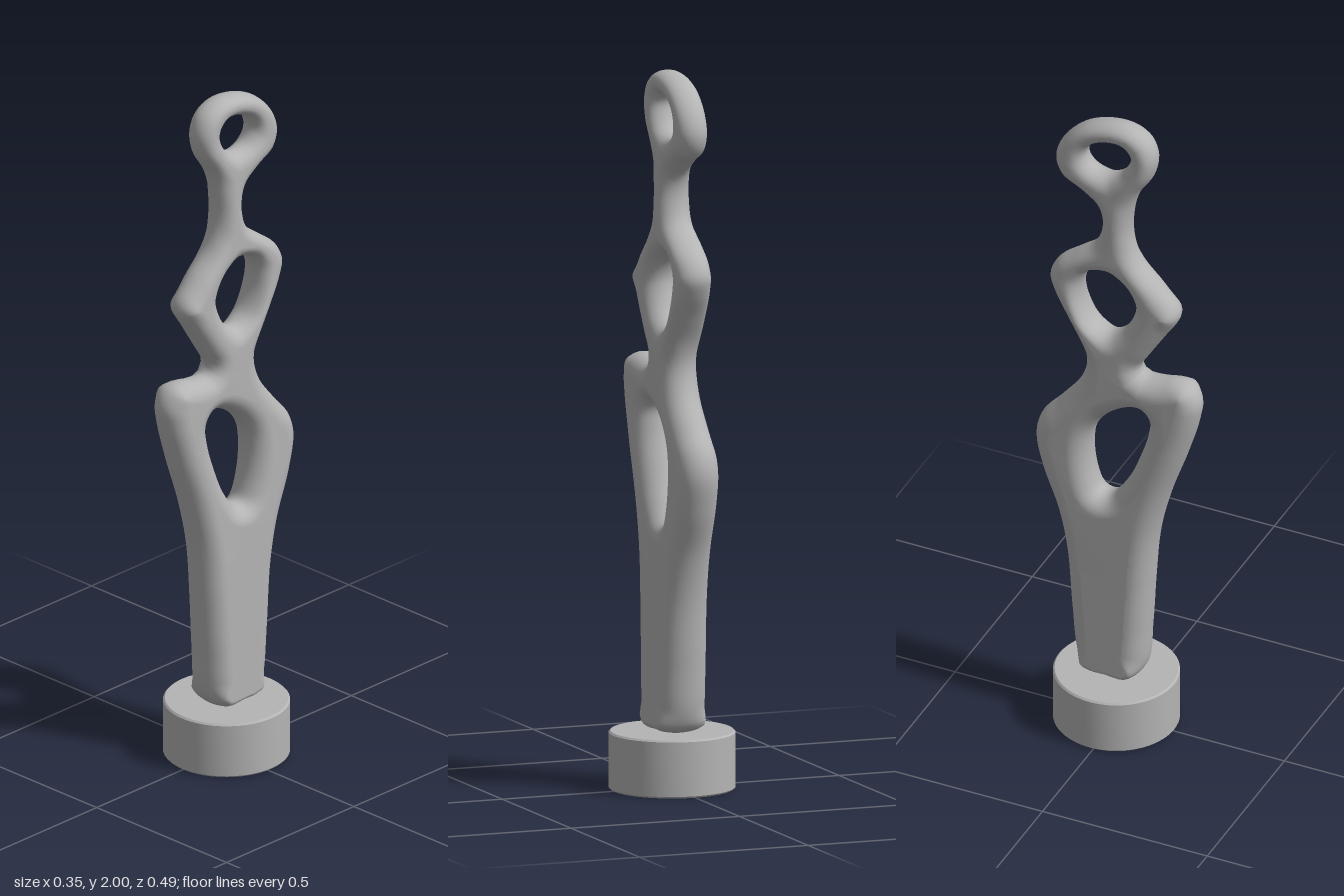
import * as THREE from 'three';
import { toCreasedNormals } from 'three/addons/utils/BufferGeometryUtils.js';

// Side silhouette as [z, y] points, and the three openings through it
const OUTLINE = [
  [-.02, .162], [.045, .162], [.08, .2], [.095, .335], [.105, .495], [.12, .655], [.155, .8], [.205, .945],
  [.24, 1.065], [.247, 1.13], [.22, 1.178], [.178, 1.188], [.12, 1.178], [.077, 1.178], [.066, 1.2],
  [.093, 1.25], [.14, 1.325], [.182, 1.395], [.178, 1.425], [.13, 1.48], [.066, 1.548], [.04, 1.62],
  [.04, 1.7], [.06, 1.78], [.103, 1.85], [.114, 1.913], [.093, 1.966], [.045, 1.995], [-.02, 1.998],
  [-.103, 1.97], [-.167, 1.907], [-.188, 1.844], [-.167, 1.79], [-.103, 1.754], [-.056, 1.712],
  [-.045, 1.66], [-.066, 1.59], [-.124, 1.542], [-.183, 1.495], [-.204, 1.447], [-.188, 1.4],
  [-.146, 1.33], [-.103, 1.246], [-.093, 1.183], [-.114, 1.114], [-.177, 1.03], [-.23, .966],
  [-.246, .902], [-.225, .8], [-.177, .67], [-.151, .548], [-.135, .362], [-.119, .22], [-.098, .175], [-.06, .162],
];
const TOP_HOLE = [[.04, 1.902], [.019, 1.934], [-.03, 1.934], [-.082, 1.907], [-.098, 1.87],
  [-.077, 1.833], [-.03, 1.823], [.013, 1.844]];
const MIDDLE_HOLE = [[.056, 1.405], [.04, 1.458], [.003, 1.49], [-.045, 1.5], [-.087, 1.484],
  [-.108, 1.437], [-.103, 1.368], [-.071, 1.31], [-.024, 1.294], [.024, 1.325]];
const LOWER_HOLE = [[.098, 1.04], [.077, 1.069], [.034, 1.061], [-.03, 1.019], [-.071, .96], [-.082, .892],
  [-.071, .8], [-.05, .754], [-.019, .754], [.03, .817], [.071, .913], [.093, .987]];

// Smooth closed loop with the inward (into the material) normal at each point
function makeLoop(points, count) {
  const curve = new THREE.CatmullRomCurve3(points.map(([z, y]) => new THREE.Vector3(z, y, 0)), true);
  const pts = curve.getSpacedPoints(count).slice(0, count);
  return pts.map((p, i) => {
    const a = pts[(i + count - 1) % count], b = pts[(i + 1) % count];
    const len = Math.hypot(b.x - a.x, b.y - a.y);
    return { z: p.x, y: p.y, nz: -(b.y - a.y) / len, ny: (b.x - a.x) / len, r: 0 };
  });
}

// Rounding radius: the largest disc that fits inside the silhouette at each point
function setRadii(loops) {
  const all = loops.flat();
  for (const p of all) {
    p.r = p.y < 0.19 ? 0.025 : 0.055;
    for (const q of all) {
      const dz = q.z - p.z, dy = q.y - p.y, along = dz * p.nz + dy * p.ny;
      if (along > 1e-5) p.r = Math.min(p.r, 0.92 * (dz * dz + dy * dy) / (2 * along));
    }
  }
  for (const loop of loops) {
    const n = loop.length, at = (list, i) => list[(i + n) % n];
    const low = loop.map((p, i) => Math.min(at(loop, i - 1).r, p.r, at(loop, i + 1).r));
    loop.forEach((p, i) => { p.r = (at(low, i - 1) + low[i] + at(low, i + 1)) / 3; });
  }
}

// Rounded slab that gets thinner towards the top
function sculptureGeometry() {
  const loops = [
    makeLoop(OUTLINE, 300),
    makeLoop(TOP_HOLE.slice().reverse(), 64),
    makeLoop(MIDDLE_HOLE.slice().reverse(), 72),
    makeLoop(LOWER_HOLE.slice().reverse(), 90),
  ];
  setRadii(loops);

  const rows = 16, positions = [], index = [];
  const capIds = [[], []], capLoops = [];
  for (const loop of loops) {
    const n = loop.length, start = positions.length / 3;
    for (let j = 0; j <= rows; j++) {
      const angle = (j / rows - 0.5) * Math.PI;
      for (const p of loop) {
        const inset = p.r * (1 - Math.cos(angle));
        const y = p.y + p.ny * inset;
        positions.push((0.073 - 0.015 * y) * Math.sin(angle), y, p.z + p.nz * inset);
      }
    }
    for (let j = 0; j < rows; j++) {
      for (let i = 0; i < n; i++) {
        const k = (i + 1) % n;
        const a = start + j * n + i, c = start + j * n + k;
        index.push(a, a + n, c, a + n, c + n, c);
      }
    }
    for (let i = 0; i < n; i++) {
      capIds[0].push(start + i);
      capIds[1].push(start + rows * n + i);
    }
    capLoops.push(loop.map(p => new THREE.Vector2(p.z + p.nz * p.r, p.y + p.ny * p.r)));
  }

  // Flat middle of both broad sides
  const flat = capLoops.flat();
  for (const [a, b, c] of THREE.ShapeUtils.triangulateShape(capLoops[0], capLoops.slice(1))) {
    const ccw = THREE.ShapeUtils.area([flat[a], flat[b], flat[c]]) > 0;
    const tri = ccw ? [a, b, c] : [a, c, b];
    index.push(...tri.map(i => capIds[0][i]));
    index.push(...tri.reverse().map(i => capIds[1][i]));
  }

  const geometry = new THREE.BufferGeometry();
  geometry.setAttribute('position', new THREE.Float32BufferAttribute(positions, 3));
  geometry.setIndex(index);
  geometry.computeVertexNormals();
  return geometry;
}

export function createModel() {
  const group = new THREE.Group();
  group.name = 'abstractSculpture';
  const stone = new THREE.MeshStandardMaterial({ color: 0xb4b4b4 });
  stone.name = 'grey stone';

  // Round plinth with a fine chamfer
  const profile = [[0, 0], [.17, 0], [.175, .005], [.175, .157], [.17, .162], [0, .162]];
  const plinth = new THREE.Mesh(toCreasedNormals(
    new THREE.LatheGeometry(profile.map(([r, y]) => new THREE.Vector2(r, y)), 64), 0.5), stone);
  plinth.name = 'plinth';
  plinth.position.z = -0.01;
  group.add(plinth);

  // Pierced standing form
  const figure = new THREE.Mesh(sculptureGeometry(), stone);
  figure.name = 'piercedFigure';
  group.add(figure);
  return group;
}
